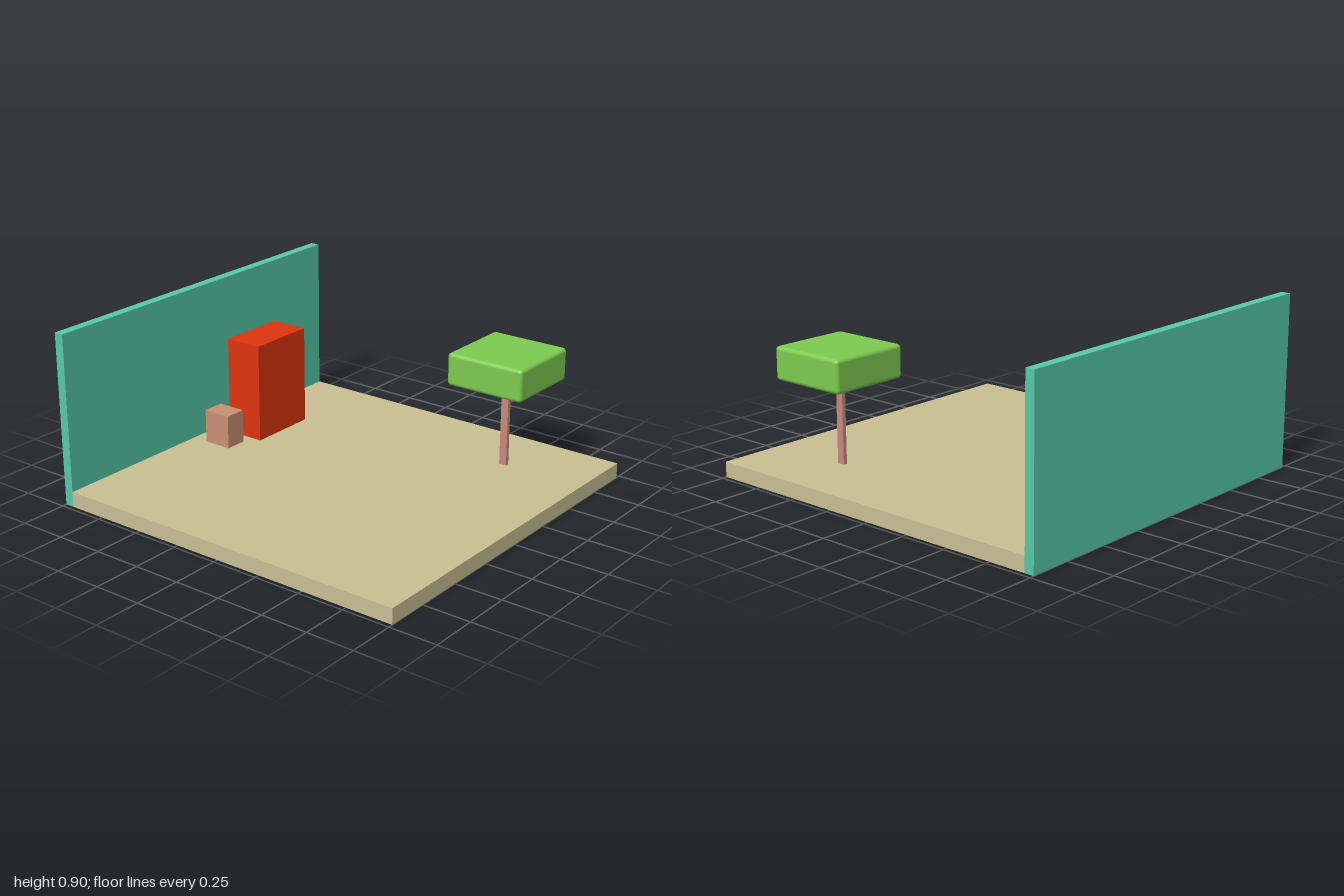
import * as THREE from 'three';
import { RoundedBoxGeometry } from 'three/addons/geometries/RoundedBoxGeometry.js';

// Places a box-shaped part from its [min, max] extents on each axis
function block(name, color, x, y, z, radius = 0) {
  const size = [x, y, z].map(([a, b]) => b - a);
  const geometry = radius
    ? new RoundedBoxGeometry(...size, 3, radius)
    : new THREE.BoxGeometry(...size);
  const mesh = new THREE.Mesh(geometry, new THREE.MeshStandardMaterial({ color }));
  mesh.name = name;
  mesh.position.set(...[x, y, z].map(([a, b]) => (a + b) / 2));
  return mesh;
}

export function createModel() {
  const model = new THREE.Group();
  model.name = 'courtyard';
  const depth = [-0.976, 0.976];
  const floorTop = 0.08;

  // Ground slab with a wall along its right edge
  model.add(block('floor', 0xc9c095, [-0.95, 1], [0, floorTop], depth));
  model.add(block('wall', 0x57c9a9, [-1, -0.95], [0, 0.9], depth));

  // Tall cabinet and the small box beside it
  model.add(block('cabinet', 0xdd350e, [-0.855, -0.646], [floorTop, 0.605], [-0.468, -0.091]));
  model.add(block('smallBox', 0xc89173, [-0.862, -0.707], [floorTop, 0.258], [-0.027, 0.092]));

  // Tree: thin trunk under a softly rounded block of leaves
  const tree = new THREE.Group();
  tree.name = 'tree';
  tree.add(block('trunk', 0xc8897e, [0.522, 0.563], [floorTop, 0.54], [-0.625, -0.604]));
  tree.add(block('canopy', 0x7ecb50, [0.313, 0.747], [0.518, 0.69], [-0.849, -0.415], 0.02));
  model.add(tree);

  return model;
}
